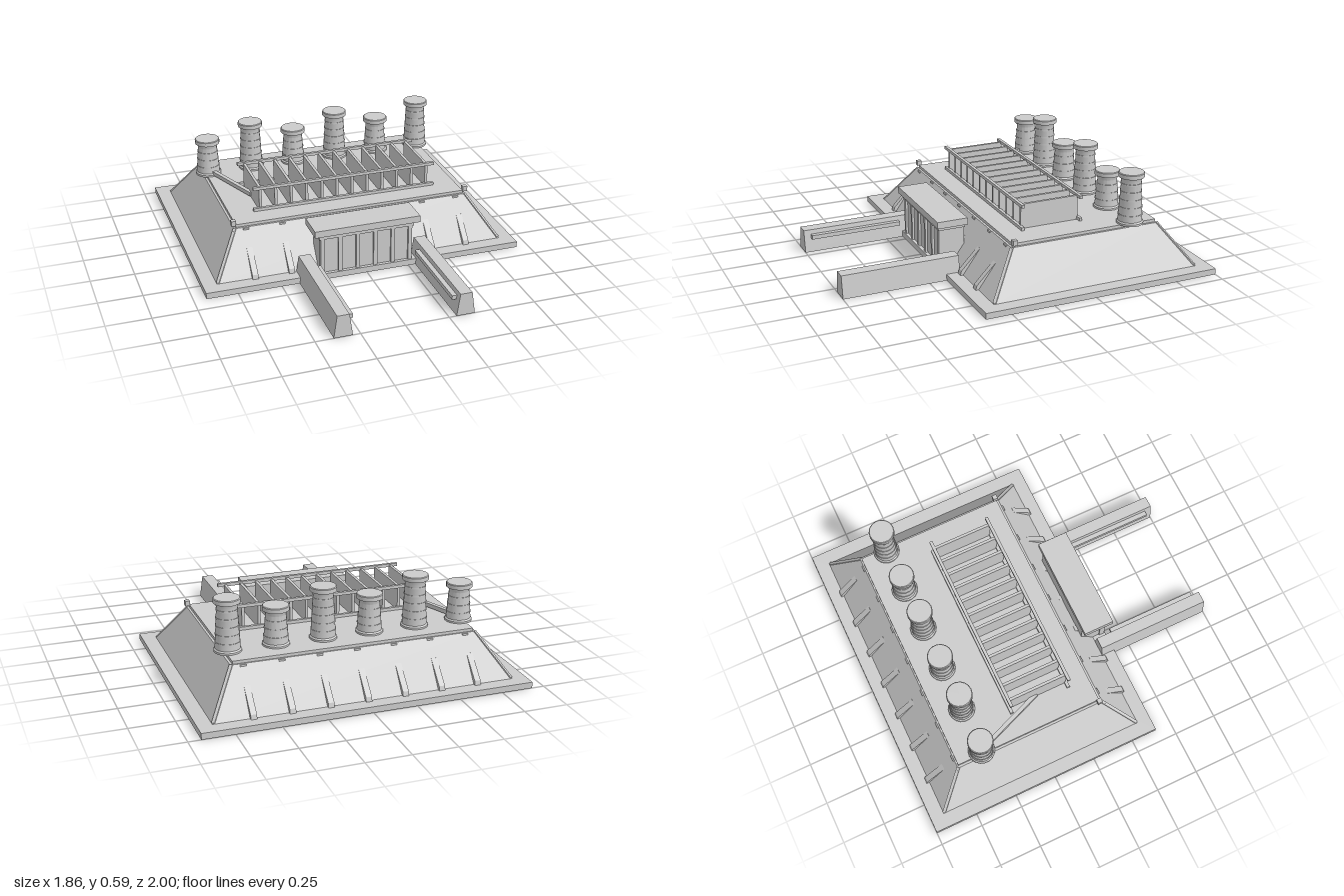
import * as THREE from 'three';
import { toCreasedNormals } from 'three/addons/utils/BufferGeometryUtils.js';

export function createModel() {
  const model = new THREE.Group();
  const concrete = new THREE.MeshStandardMaterial({ color: 0xcccccc });
  concrete.name = 'pale concrete';

  function add(name, geometry, parent = model) {
    const mesh = new THREE.Mesh(geometry, concrete);
    mesh.name = name;
    parent.add(mesh);
    return mesh;
  }
  function group(name) {
    const g = new THREE.Group();
    g.name = name;
    model.add(g);
    return g;
  }
  // Box given by its minimum and maximum corners
  function box(name, x0, x1, y0, y1, z0, z1, parent) {
    const g = new THREE.BoxGeometry(x1 - x0, y1 - y0, z1 - z0);
    g.translate((x0 + x1) / 2, (y0 + y1) / 2, (z0 + z1) / 2);
    return add(name, g, parent);
  }
  // Box whose top is scaled in x and z
  function taperedBox(w, h, d, topX, topZ) {
    const g = new THREE.BoxGeometry(w, h, d);
    const p = g.attributes.position;
    for (let i = 0; i < p.count; i++) {
      if (p.getY(i) > 0) p.setXYZ(i, p.getX(i) * topX, p.getY(i), p.getZ(i) * topZ);
    }
    g.computeVertexNormals();
    return g;
  }
  // Square bar between two points
  function bar(name, a, b, size, parent) {
    const from = new THREE.Vector3(...a), to = new THREE.Vector3(...b);
    const mesh = add(name, new THREE.BoxGeometry(size, size, from.distanceTo(to)), parent);
    mesh.position.copy(from).add(to).multiplyScalar(0.5);
    mesh.lookAt(to);
    return mesh;
  }

  // Foundation, sloped body and roof slab
  const midZ = -0.3;
  box('foundation', -0.93, 0.93, 0, 0.035, -1, 0.4);
  add('slopedBody', taperedBox(1.7, 0.235, 1.24, 0.7 / 0.85, 0.45 / 0.62)).position.set(0, 0.1525, midZ);
  box('roofSlab', -0.687, 0.687, 0.262, 0.287, -0.742, 0.137);

  // Edge trims along the four sloping corners
  const trims = group('cornerTrims');
  for (const sx of [-1, 1]) for (const sz of [-1, 1]) {
    bar('cornerTrim', [sx * 0.842, 0.035, midZ + sz * 0.612], [sx * 0.693, 0.267, midZ + sz * 0.443], 0.018, trims);
  }

  // Seven buttress ribs on the front and back slopes
  const ribs = group('buttresses');
  for (const sz of [-1, 1]) {
    const profile = new THREE.Shape([[0.58, 0.03], [0.638, 0.03], [0.63, 0.06], [0.518, 0.177], [0.5, 0.17]]
      .map(([z, y]) => new THREE.Vector2(sz * z, y)));
    for (let i = -3; i <= 3; i++) {
      const g = new THREE.ExtrudeGeometry(profile, { depth: 0.034, bevelEnabled: false });
      g.translate(0, 0, -0.017).rotateY(-Math.PI / 2);
      add('buttress', g, ribs).position.set(i * 0.211, 0, midZ);
      const z = midZ + sz * 0.453;
      box('ribHead', i * 0.211 - 0.017, i * 0.211 + 0.017, 0.255, 0.268, z - 0.006, z + 0.006, ribs);
    }
  }

  // Chimneys, alternating short and tall
  const chimneys = group('chimneys');
  const base = 0.285;
  for (let i = 0; i < 6; i++) {
    const h = (i % 2 ? 0.585 : 0.51) - base;
    const profile = [[0, 0], [0.076, 0], [0.076, 0.012], [0.069, 0.02], [0.056, h - 0.05],
      [0.062, h - 0.03], [0.073, h - 0.027], [0.073, h - 0.004], [0.069, h], [0, h]]
      .map(([r, y]) => new THREE.Vector2(r, y));
    const stack = group('chimney');
    chimneys.add(stack);
    stack.position.set(-0.668 + i * 0.267, base, -0.59);
    add('stack', toCreasedNormals(new THREE.LatheGeometry(profile, 18), 0.5), stack);
    // Raised bands around the stack
    for (let y = 0.055; y < h - 0.06; y += 0.045) {
      const r = 0.0715 - 0.013 * (y - 0.02) / (h - 0.07);
      add('band', new THREE.CylinderGeometry(r, r, 0.008, 18), stack).position.y = y;
    }
  }

  // Louvre bank: twelve upright slats between four rails
  const louvres = group('louvreBank');
  for (let i = 0; i < 12; i++) {
    const x = -0.506 + i * 0.092;
    box('slat', x - 0.008, x + 0.008, 0.287, 0.43, -0.342, 0.008, louvres);
  }
  for (const z of [-0.345, 0.01]) for (const y of [0.298, 0.429]) {
    box('rail', -0.55, 0.55, y - 0.009, y + 0.009, z - 0.009, z + 0.009, louvres);
  }

  // Duct from the corner chimney to the louvres
  bar('duct', [-0.655, 0.306, -0.55], [-0.51, 0.306, -0.175], 0.024);

  // Small blocks at the front roof corners
  for (const sx of [-1, 1]) {
    add('cornerBlock', new THREE.BoxGeometry(0.027, 0.03, 0.027)).position.set(sx * 0.7, 0.298, 0.132);
  }

  // Entrance with upright ribs and an overhanging roof
  const entrance = group('entrance');
  box('entranceBlock', -0.265, 0.265, 0.03, 0.28, 0.24, 0.38, entrance);
  box('entranceRoof', -0.31, 0.31, 0.275, 0.314, 0.235, 0.415, entrance);
  box('lintel', -0.28, 0.28, 0.25, 0.275, 0.24, 0.398, entrance);
  for (let i = 0; i < 6; i++) {
    const x = -0.26 + i * 0.104;
    box('entranceRib', x - 0.011, x + 0.011, 0.035, 0.255, 0.36, 0.393, entrance);
  }

  // Approach walls with a rail on the inner faces
  const walls = group('approachWalls');
  for (const sx of [-1, 1]) {
    add('approachWall', taperedBox(0.105, 0.13, 0.68, 0.65, 1), walls).position.set(sx * 0.345, 0.065, 0.66);
    const x = sx * 0.294;
    box('handrail', x - 0.014, x + 0.014, 0.08, 0.104, 0.42, 0.96, walls);
  }
  return model;
}
